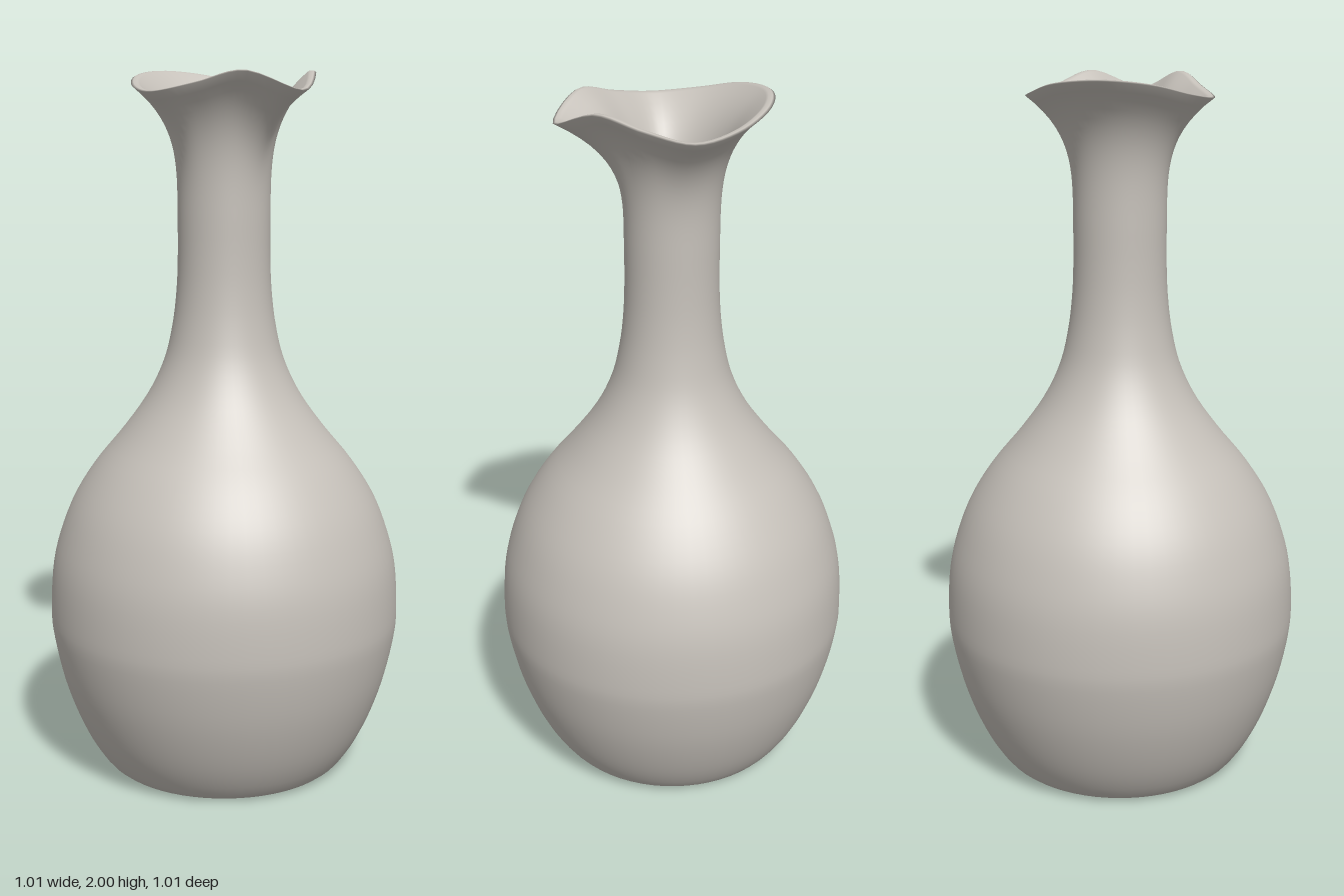
import * as THREE from 'three';
import { mergeVertices } from 'three/addons/utils/BufferGeometryUtils.js';

const SEGMENTS = 64;
const NECK_R = 0.13, NECK_Y = 1.6, FLARE_TOP = 2.0, WALL = 0.025;

// Rim as [radius, height] every 30 degrees, from the front spout round to the back
const RIM_HALF = [
  [0.313, 1.945], [0.262, 1.995], [0.238, 1.965], [0.26, 1.942],
  [0.254, 1.956], [0.263, 1.985], [0.27, 1.997],
];

function makeRimCurve() {
  const full = [...RIM_HALF, ...RIM_HALF.slice(1, -1).reverse()];
  return new THREE.CatmullRomCurve3(full.map(([r, y], i) => {
    const a = (i * Math.PI) / 6;
    return new THREE.Vector3(r * Math.sin(a), y, r * Math.cos(a));
  }), true, 'centripetal');
}

// Outer wall from foot to neck, then the lip and the inner wall back down
function makeProfile() {
  const wall = new THREE.SplineCurve([
    [0.3, 0], [0.345, 0.012], [0.395, 0.08], [0.438, 0.17], [0.475, 0.28],
    [0.5, 0.4], [0.505, 0.48], [0.497, 0.6], [0.473, 0.7], [0.433, 0.8],
    [0.37, 0.9], [0.288, 1.0], [0.217, 1.1], [0.17, 1.2], [0.146, 1.3],
    [0.134, 1.4], [0.13, 1.5], [NECK_R, NECK_Y],
  ].map(([x, y]) => new THREE.Vector2(x, y))).getPoints(60);
  for (let i = 1; i <= 16; i++) {
    wall.push(new THREE.Vector2(NECK_R, NECK_Y + ((FLARE_TOP - NECK_Y) * i) / 16));
  }
  const inner = wall.filter(p => p.y > 0.07)
    .map(p => new THREE.Vector2(p.x - WALL, p.y)).reverse();
  return [
    new THREE.Vector2(0, 0), new THREE.Vector2(0.15, 0), new THREE.Vector2(0.28, 0),
    ...wall,
    new THREE.Vector2(NECK_R - 0.007, FLARE_TOP + 0.004),
    new THREE.Vector2(NECK_R - 0.018, FLARE_TOP + 0.004),
    ...inner,
    new THREE.Vector2(0.32, 0.035), new THREE.Vector2(0.25, 0.03), new THREE.Vector2(0, 0.03),
  ];
}

// Spread the top of the neck outwards until it meets the wavy pouring rim
function flareNeck(geometry) {
  const rim = makeRimCurve();
  const pos = geometry.attributes.position;
  for (let i = 0; i < pos.count; i++) {
    const x = pos.getX(i), y = pos.getY(i), z = pos.getZ(i);
    if (y <= NECK_Y) continue;
    const angle = (Math.atan2(x, z) + Math.PI * 2) % (Math.PI * 2);
    const target = rim.getPoint(angle / (Math.PI * 2));
    const s = (y - NECK_Y) / (FLARE_TOP - NECK_Y);
    const blend = Math.pow(Math.min(s, 1), 3.6);
    const inset = Math.hypot(x, z) - NECK_R;
    const ringX = NECK_R * Math.sin(angle), ringZ = NECK_R * Math.cos(angle);
    pos.setXYZ(i,
      ringX + (target.x - ringX) * blend + inset * Math.sin(angle),
      NECK_Y + (target.y - NECK_Y) * s,
      ringZ + (target.z - ringZ) * blend + inset * Math.cos(angle));
  }
}

export function createModel() {
  const clay = new THREE.MeshStandardMaterial({ color: 0xc6c1ba });
  clay.name = 'warm grey clay';

  const lathe = new THREE.LatheGeometry(makeProfile(), SEGMENTS);
  flareNeck(lathe);

  // Weld the seam so the shading stays smooth all round
  lathe.deleteAttribute('uv');
  lathe.deleteAttribute('normal');
  const geometry = mergeVertices(lathe, 1e-5);
  geometry.computeVertexNormals();

  const carafe = new THREE.Mesh(geometry, clay);
  carafe.name = 'carafeBody';
  const group = new THREE.Group();
  group.name = 'carafe';
  group.add(carafe);
  return group;
}
